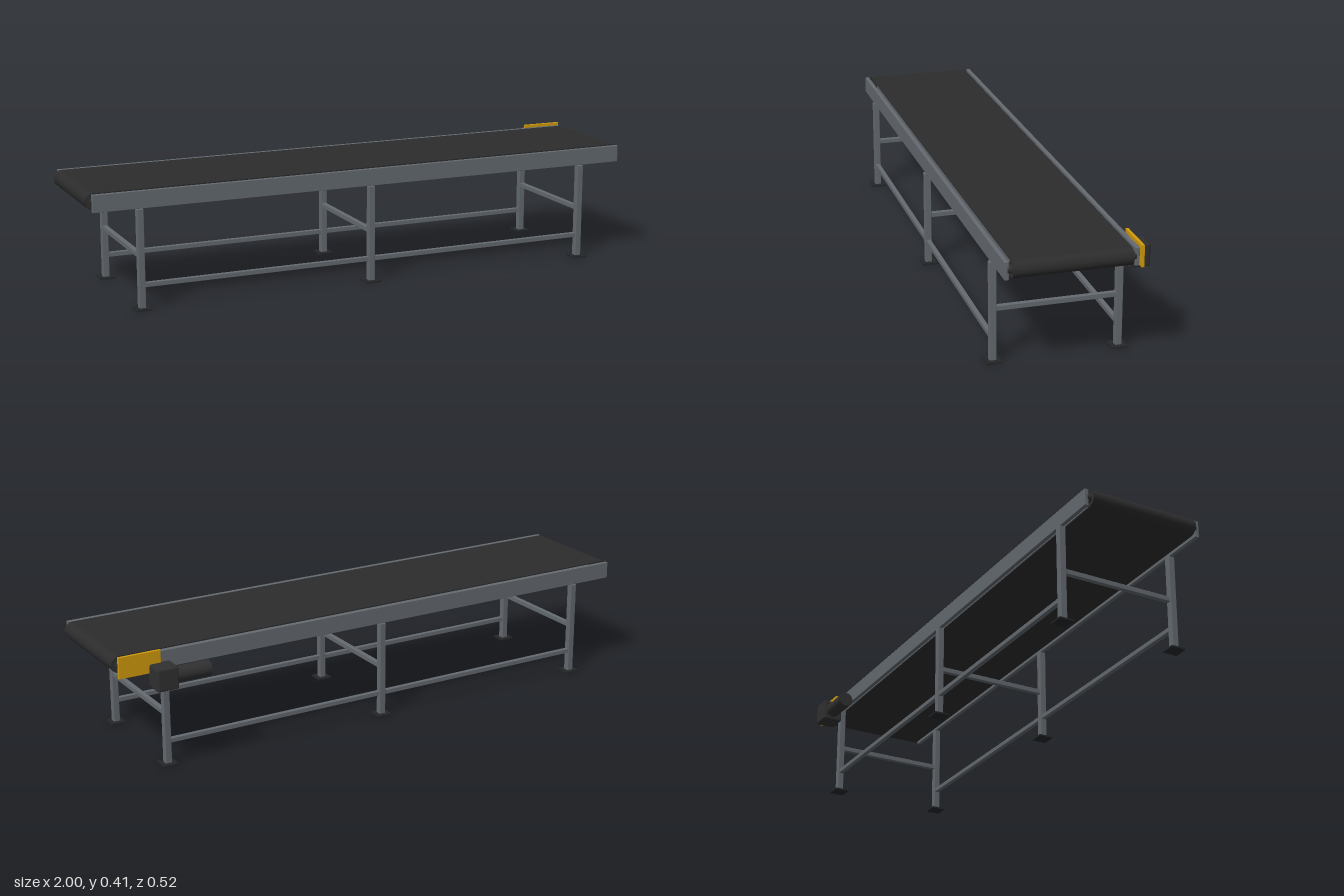
import * as THREE from 'three';
import { RoundedBoxGeometry } from 'three/addons/geometries/RoundedBoxGeometry.js';

const material = (name, color) => {
  const m = new THREE.MeshStandardMaterial({ color });
  m.name = name;
  return m;
};

export function createModel() {
  const steel = material('painted steel', 0x646a70);
  const rubber = material('belt rubber', 0x2c2c2c);
  const dark = material('dark metal', 0x303030);
  const footBlack = material('foot black', 0x242628);
  const yellow = material('safety yellow', 0xd29c0c);

  const model = new THREE.Group();
  model.name = 'beltConveyor';
  const midZ = 0.028, sideZ = 0.208, rollerY = 0.371, rollerR = 0.029, rollerX = 0.971;

  const add = (name, geometry, mat, x, y, z) => {
    const mesh = new THREE.Mesh(geometry, mat);
    mesh.name = name;
    mesh.position.set(x, y, z);
    model.add(mesh);
    return mesh;
  };
  const box = (name, mat, w, h, d, x, y, z) =>
    add(name, new RoundedBoxGeometry(w, h, d, 1, Math.min(w, h, d) * 0.1), mat, x, y, z);

  // Belt: a closed loop around both end drums
  const loop = (r) => (path) => {
    path.moveTo(-rollerX, -r);
    path.lineTo(rollerX, -r);
    path.absarc(rollerX, 0, r, -Math.PI / 2, Math.PI / 2, false);
    path.lineTo(-rollerX, r);
    path.absarc(-rollerX, 0, r, Math.PI / 2, Math.PI * 1.5, false);
    return path;
  };
  const beltShape = loop(rollerR)(new THREE.Shape());
  beltShape.holes.push(loop(rollerR - 0.004)(new THREE.Path()));
  const beltWidth = 0.384;
  add('belt', new THREE.ExtrudeGeometry(beltShape, { depth: beltWidth, bevelEnabled: false, curveSegments: 16 }),
    rubber, 0, rollerY, midZ - beltWidth / 2);

  // Slider bed between the belt runs
  box('sliderBed', steel, 1.86, 0.03, 0.36, 0, rollerY, midZ);

  // End drums with their shafts
  for (const s of [-1, 1]) {
    add('drum', new THREE.CylinderGeometry(0.025, 0.025, 0.38, 28), dark, s * rollerX, rollerY, midZ).rotation.x = Math.PI / 2;
    add('drumShaft', new THREE.CylinderGeometry(0.014, 0.014, 0.41, 20), dark, s * rollerX, rollerY, midZ).rotation.x = Math.PI / 2;
  }

  // Side rails, long braces, legs and feet
  for (const s of [-1, 1]) {
    const z = midZ + s * sideZ;
    box('sideRail', steel, 1.965, 0.059, 0.014, 0, 0.369, z);
    box('longBrace', steel, 1.65, 0.016, 0.016, 0, 0.082, z);
    for (const x of [-0.825, 0, 0.825]) {
      box('leg', steel, 0.023, 0.335, 0.023, x, 0.1715, z);
      box('foot', footBlack, 0.053, 0.006, 0.053, x, 0.003, z);
    }
  }

  // Cross braces
  for (const x of [-0.825, 0, 0.825])
    box('crossBrace', steel, 0.017, 0.017, sideZ * 2, x, 0.181, midZ);

  // Drive unit and guard on the back side
  box('gearbox', dark, 0.076, 0.078, 0.074, 0.847, 0.326, -0.225);
  add('motor', new THREE.CylinderGeometry(0.027, 0.027, 0.125, 28), dark, 0.75, 0.326, -0.227).rotation.z = Math.PI / 2;
  box('driveGuard', yellow, 0.147, 0.073, 0.01, 0.917, 0.3715, -0.195);

  return model;
}
